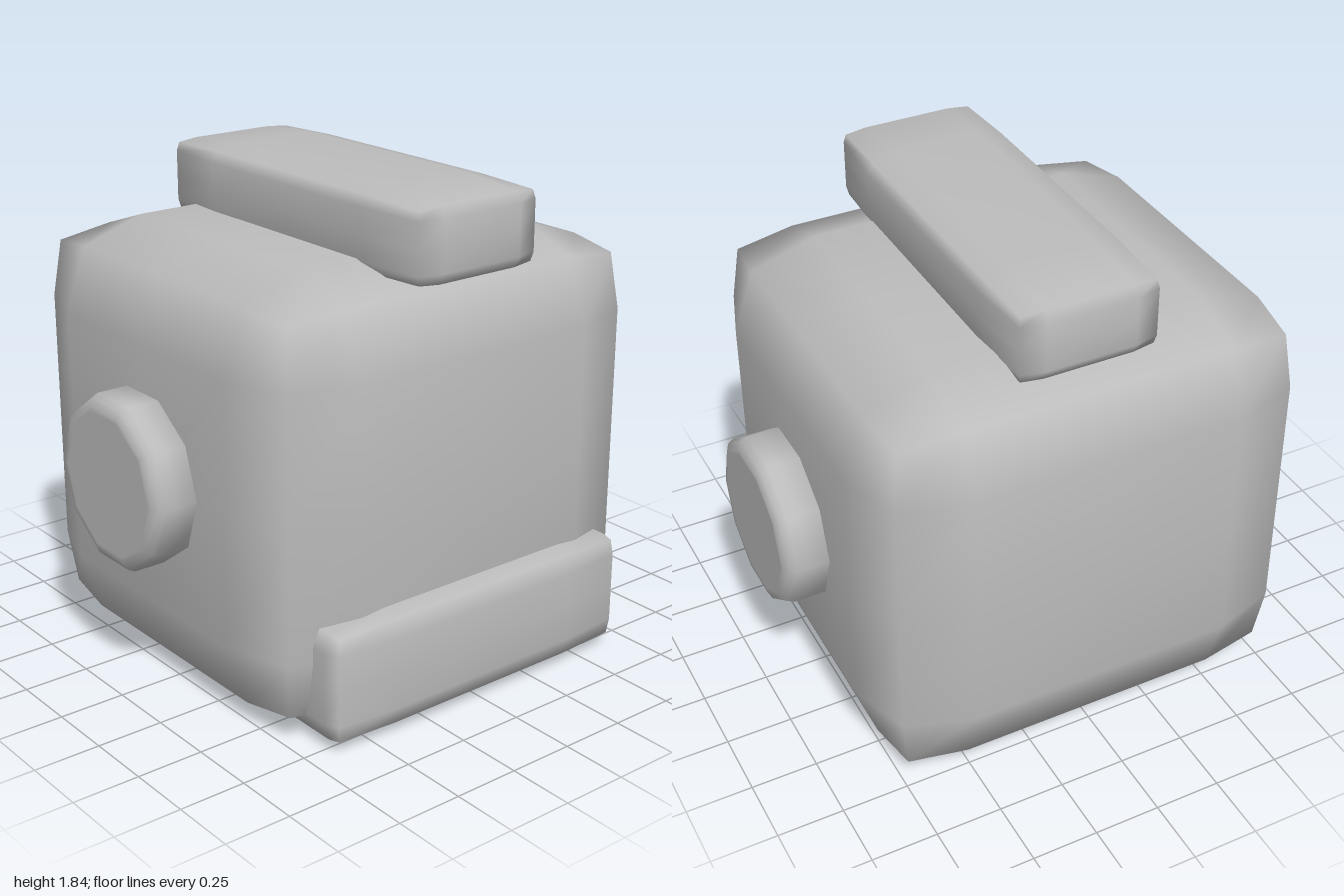
import * as THREE from 'three';
import { mergeVertices } from 'three/addons/utils/BufferGeometryUtils.js';

// Box with softly pulled-in edges and corners, smooth shaded
function softBox(half, edgePull, cornerPull) {
  const box = new THREE.BoxGeometry(2, 2, 2, 4, 4, 4);
  box.deleteAttribute('normal');
  box.deleteAttribute('uv');
  const geo = mergeVertices(box);
  const pos = geo.attributes.position;
  for (let i = 0; i < pos.count; i++) {
    const v = [pos.getX(i), pos.getY(i), pos.getZ(i)];
    const outer = v.filter((c) => Math.abs(c) > 0.9).length;
    const pull = [0, 0, edgePull, cornerPull][outer];
    const p = v.map((c, k) => {
      if (Math.abs(c) > 0.9) return Math.sign(c) * (half[k] - pull);
      return Math.abs(c) > 0.1 ? Math.sign(c) * half[k] * 0.605 : 0;
    });
    pos.setXYZ(i, ...p);
  }
  geo.computeVertexNormals();
  return geo;
}

export function createModel() {
  const group = new THREE.Group();
  const grey = new THREE.MeshStandardMaterial({ color: 0xbcbcbc });
  grey.name = 'grey';

  const add = (name, geo, x, y, z) => {
    const mesh = new THREE.Mesh(geo, grey);
    mesh.name = name;
    mesh.position.set(x, y, z);
    group.add(mesh);
    return mesh;
  };

  // Main block, crest along the top and jaw plate at the lower front
  add('body', softBox([0.84, 0.8, 0.8], 0.08, 0.105), 0, 0.8, -0.04);
  add('topBar', softBox([0.28, 0.153, 0.72], 0.021, 0.028), 0, 1.687, 0.04);
  add('frontPlate', softBox([0.675, 0.22, 0.185], 0.021, 0.028), 0, 0.243, 0.655);

  // Ten-sided bevelled knobs on both sides
  const profile = [
    [0, 0.7], [0.32, 0.7], [0.32, 0.92], [0.32, 0.96],
    [0.308, 0.985], [0.28, 1.0], [0.26, 1.0], [0, 1.0],
  ].map(([r, h]) => new THREE.Vector2(r, h));
  const knob = new THREE.LatheGeometry(profile, 10);
  for (const side of [1, -1]) {
    const mesh = add(side > 0 ? 'leftKnob' : 'rightKnob', knob, 0, 0.805, -0.04);
    mesh.rotation.z = -side * Math.PI / 2;
  }

  return group;
}
